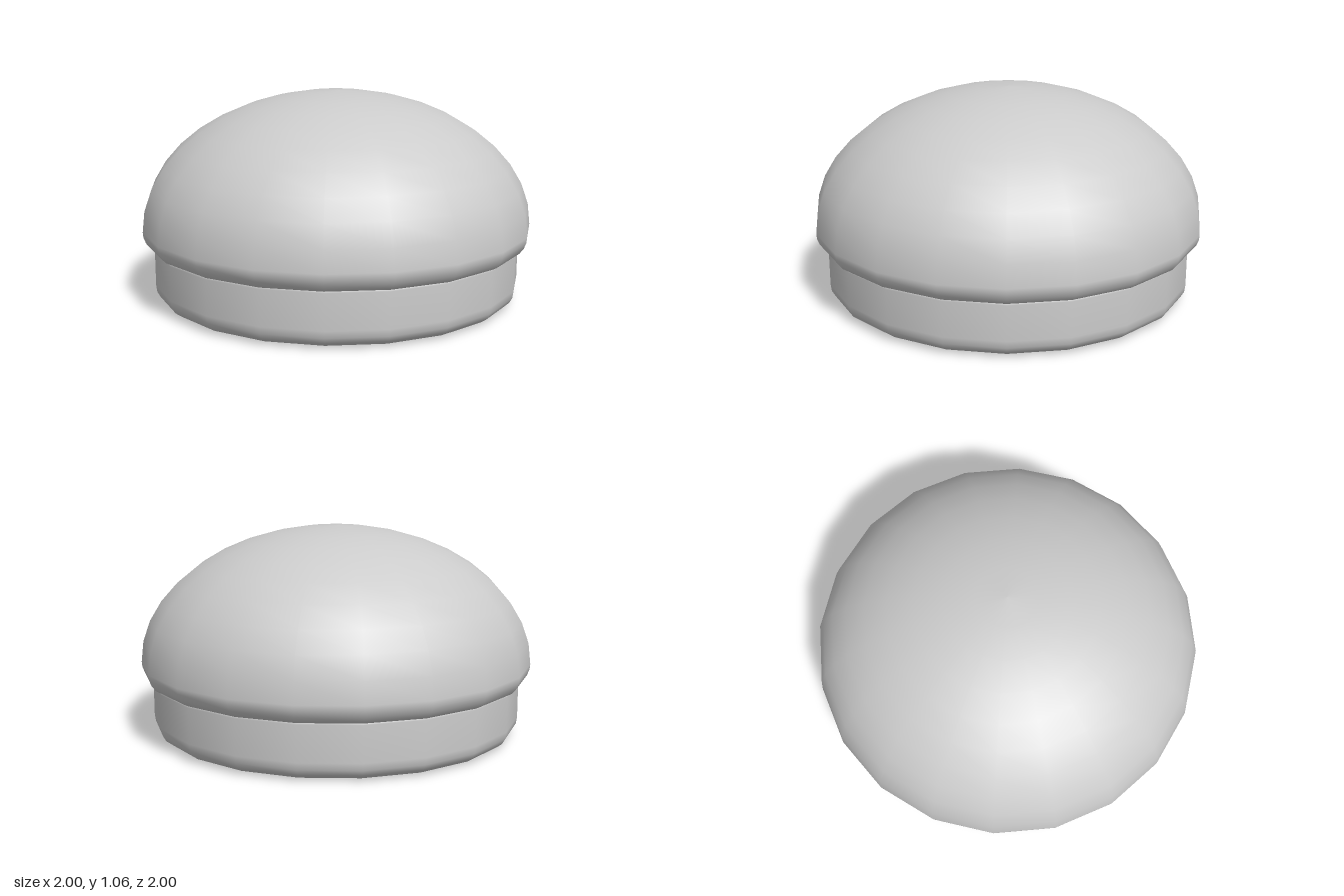
import * as THREE from 'three';

const SIDES = 20;

export function createModel() {
  const group = new THREE.Group();
  const material = new THREE.MeshStandardMaterial({ color: 0xcccccc });

  const add = (name, geometry) => {
    const mesh = new THREE.Mesh(geometry, material);
    mesh.name = name;
    group.add(mesh);
    return mesh;
  };
  const lathe = (name, points) =>
    add(name, new THREE.LatheGeometry(points.map(([r, y]) => new THREE.Vector2(r, y)), SIDES));
  // Flat disc facing down, closing a lathe from below
  const floor = (name, radius, y) => {
    const geometry = new THREE.CircleGeometry(radius, SIDES).rotateX(Math.PI / 2);
    add(name, geometry.translate(0, y, 0));
  };

  // Base drum with a rounded lower edge
  lathe('base', [
    [0.86, 0], [0.895, 0.012], [0.922, 0.032], [0.938, 0.06], [0.943, 0.095], [0.943, 0.27], [0.937, 0.28],
  ]);
  floor('baseBottom', 0.86, 0);

  // Domed top: tucked-in lip, then a quarter ellipse up to the crown
  const dome = [[0.94, 0.277], [0.965, 0.29], [0.985, 0.315], [0.997, 0.345]];
  const steps = 10;
  for (let i = 0; i <= steps; i++) {
    const a = (i / steps) * Math.PI / 2;
    dome.push([i === steps ? 0 : Math.cos(a), 0.372 + 0.688 * Math.sin(a)]);
  }
  lathe('dome', dome);
  floor('domeUnderside', 0.94, 0.277);

  return group;
}
